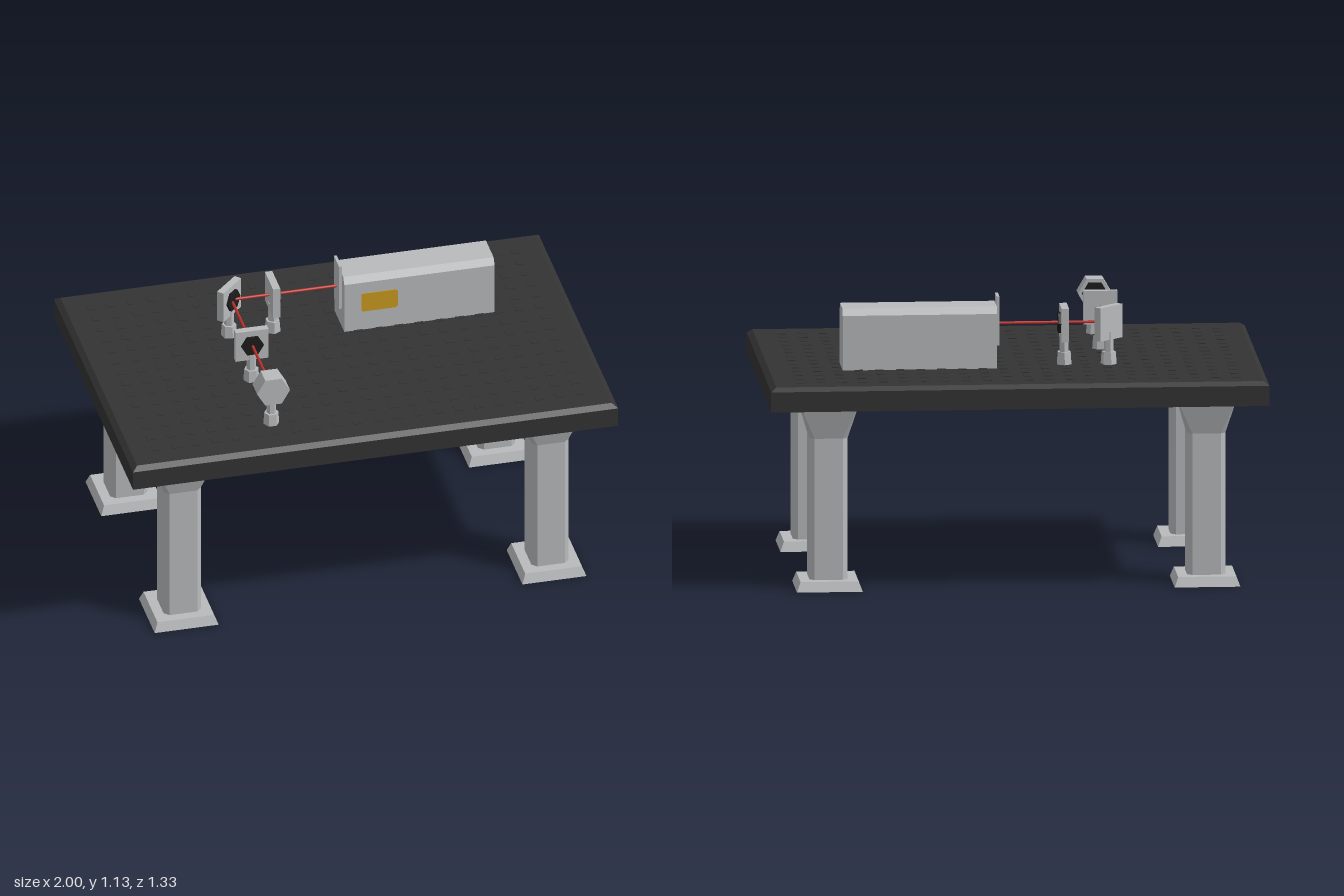
import * as THREE from 'three';
import { mergeGeometries } from 'three/addons/utils/BufferGeometryUtils.js';

const mat = (name, color) => new THREE.MeshStandardMaterial({ name, color });

// Faceted copy of a geometry
function flat(geo) {
  const g = geo.index ? geo.toNonIndexed() : geo;
  g.computeVertexNormals();
  return g;
}

// Chamfered rectangles [y, halfX, halfZ, chamfer], listed bottom to top
function loft(sections) {
  const rings = sections.map(([y, x, z, c]) => [
    [x, z - c], [x, c - z], [x - c, -z], [c - x, -z],
    [-x, c - z], [-x, z - c], [c - x, z], [x - c, z],
  ].map(([px, pz]) => [px, y, pz]));
  const pos = [];
  const tri = (...p) => p.forEach((v) => pos.push(...v));
  for (let k = 0; k + 1 < rings.length; k++) {
    const a = rings[k], b = rings[k + 1];
    for (let i = 0; i < 8; i++) {
      const j = (i + 1) % 8;
      tri(a[i], a[j], b[j]);
      tri(a[i], b[j], b[i]);
    }
  }
  const low = rings[0], top = rings[rings.length - 1];
  for (let i = 1; i < 7; i++) {
    tri(top[0], top[i], top[i + 1]);
    tri(low[0], low[i + 1], low[i]);
  }
  const g = new THREE.BufferGeometry();
  g.setAttribute('position', new THREE.Float32BufferAttribute(pos, 3));
  g.computeVertexNormals();
  return g;
}

const hexUpright = (r1, r2, h) => flat(new THREE.CylinderGeometry(r1, r2, h, 6).rotateY(Math.PI / 6));
const hexFacing = (r, depth) => hexUpright(r, r, depth).rotateX(Math.PI / 2);

export function createModel() {
  const model = new THREE.Group();
  model.name = 'opticsTable';
  const metal = mat('brushed metal', 0xb8babc);
  const dark = mat('dark table', 0x333333);
  const black = mat('black glass', 0x1c1c1c);
  const red = mat('red beam', 0xc0302a);
  const yellow = mat('yellow label', 0xc99a20);

  const add = (parent, name, geo, m, x = 0, y = 0, z = 0) => {
    const mesh = new THREE.Mesh(geo, m);
    mesh.name = name;
    mesh.position.set(x, y, z);
    parent.add(mesh);
    return mesh;
  };

  // Table slab with bevelled upper edge
  add(model, 'tableTop', loft([
    [0.75, 1, 0.665, 0], [0.832, 1, 0.665, 0], [0.848, 0.978, 0.643, 0],
  ]), dark);

  // Grid of mounting points
  const dots = [];
  for (let i = 0; i < 22; i++) {
    for (let j = 0; j < 14; j++) {
      dots.push(new THREE.BoxGeometry(0.034, 0.003, 0.034)
        .translate(-0.876 + i * 0.0832, 0.849, -0.543 + j * 0.0832));
    }
  }
  add(model, 'mountingGrid', mergeGeometries(dots), dark);

  // Four legs: foot, chamfered column and flared square head
  const foot = loft([[0, 0.132, 0.132, 0], [0.04, 0.117, 0.117, 0]]);
  const column = loft([[0.04, 0.077, 0.077, 0.02], [0.615, 0.077, 0.077, 0.02], [0.75, 0.115, 0.115, 0]]);
  for (const sx of [-1, 1]) {
    for (const sz of [-1, 1]) {
      const leg = new THREE.Group();
      leg.name = 'leg';
      leg.position.set(sx * 0.758, 0, sz * 0.448);
      add(leg, 'foot', foot, metal);
      add(leg, 'column', column, metal);
      model.add(leg);
    }
  }

  // Laser housing, extruded along x
  const beamY = 1.018, beamZ = -0.208, mirrorX = -0.38;
  const profile = new THREE.Shape([
    [-0.083, 0.848], [0.083, 0.848], [0.083, 1.07], [0.064, 1.097], [-0.064, 1.097], [-0.083, 1.07],
  ].map(([u, v]) => new THREE.Vector2(u, v)));
  const housing = new THREE.ExtrudeGeometry(profile, { depth: 0.62, bevelEnabled: false }).rotateY(Math.PI / 2);
  add(model, 'laserHousing', housing, metal, 0.065, 0, beamZ);
  add(model, 'laserFacePlate', new THREE.BoxGeometry(0.012, 0.2, 0.086), metal, 0.059, 1.034, beamZ);

  // Label with rounded corners
  const w = 0.075, h = 0.042, r = 0.012;
  const label = new THREE.Shape();
  label.moveTo(-w + r, -h).lineTo(w - r, -h).quadraticCurveTo(w, -h, w, -h + r)
    .lineTo(w, h - r).quadraticCurveTo(w, h, w - r, h)
    .lineTo(-w + r, h).quadraticCurveTo(-w, h, -w, h - r)
    .lineTo(-w, -h + r).quadraticCurveTo(-w, -h, -w + r, -h);
  add(model, 'label', new THREE.ExtrudeGeometry(label, { depth: 0.003, bevelEnabled: false, curveSegments: 3 }),
    yellow, 0.21, 0.977, beamZ + 0.083);

  // Beam from laser to mirror, then from mirror to detector
  const beam = (len) => new THREE.CylinderGeometry(0.006, 0.006, len, 8);
  add(model, 'beamFirst', beam(0.44).rotateZ(Math.PI / 2), red, -0.16, beamY, beamZ);
  add(model, 'beamSecond', beam(0.635).rotateX(Math.PI / 2), red, mirrorX, beamY, beamZ + 0.3175);

  // Stand shared by every optic, facing +z before turning
  const stand = (name, x, z, turn) => {
    const g = new THREE.Group();
    g.name = name;
    g.position.set(x, 0, z);
    g.rotation.y = turn;
    add(g, 'base', hexUpright(0.029, 0.033, 0.052), metal, 0, 0.873, 0);
    add(g, 'post', hexUpright(0.02, 0.02, 0.09), metal, 0, 0.935, 0);
    model.add(g);
    return g;
  };

  // Square holders with a dark hexagonal optic
  const optics = [
    ['lensMount', -0.21, beamZ, Math.PI / 2],
    ['mirrorMount', mirrorX - 0.008, beamZ - 0.008, Math.PI / 4],
    ['filterMount', mirrorX, 0.125, 0],
  ];
  for (const [name, x, z, turn] of optics) {
    const g = stand(name, x, z, turn);
    add(g, 'holder', new THREE.BoxGeometry(0.136, 0.136, 0.03), metal, 0, beamY - 0.002, 0);
    add(g, 'optic', hexFacing(0.046, 0.012), black, 0, beamY, 0.02);
  }

  // Detector with a dark window toward the beam
  const detector = stand('detector', mirrorX, 0.46, 0);
  add(detector, 'detectorBody', hexFacing(0.068, 0.078), metal, 0, beamY - 0.002, 0);
  add(detector, 'detectorWindow', hexFacing(0.052, 0.006), black, 0, beamY - 0.002, -0.039);

  return model;
}
